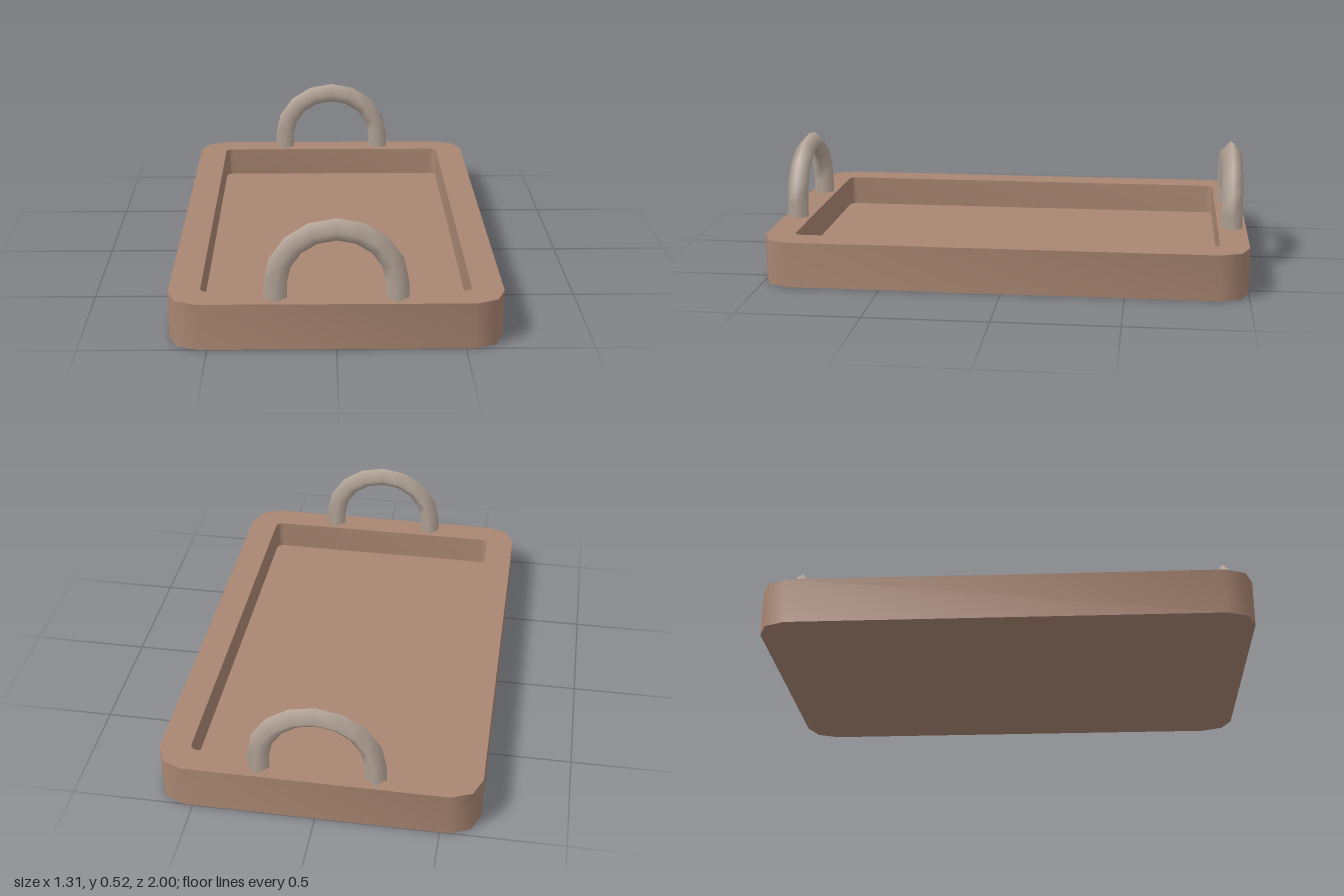
import * as THREE from 'three';
import { toCreasedNormals } from 'three/addons/utils/BufferGeometryUtils.js';

// Outline of a rectangle with rounded corners, each corner made of n segments
function roundedOutline(hx, hz, r, n) {
  const pts = [];
  const corners = [[1, 1], [-1, 1], [-1, -1], [1, -1]];
  corners.forEach(([sx, sz], c) => {
    for (let i = 0; i <= n; i++) {
      const a = (c + i / n) * Math.PI / 2;
      pts.push(new THREE.Vector2(sx * (hx - r) + r * Math.cos(a), sz * (hz - r) + r * Math.sin(a)));
    }
  });
  return pts;
}

// Upright slab from a flat shape, standing on y = 0
function slab(shape, height) {
  const geo = new THREE.ExtrudeGeometry(shape, { depth: height, bevelEnabled: false });
  geo.rotateX(-Math.PI / 2);
  return toCreasedNormals(geo, 0.87);
}

// Arch path: short straight legs under a half ellipse, in ten even steps
class ArchCurve extends THREE.Curve {
  getPoint(t, target = new THREE.Vector3()) {
    const k = t * 10;
    const a = (THREE.MathUtils.clamp(k, 1, 9) - 1) * Math.PI / 8;
    const drop = Math.max(0, 1 - k, k - 9) * 0.07;
    return target.set(0.235 * Math.cos(a), 0.25 + 0.221 * Math.sin(a) - drop, 0);
  }
  getPointAt(t, target) {
    return this.getPoint(t, target);
  }
  getTangentAt(t, target) {
    return this.getTangent(t, target);
  }
}

export function createModel() {
  const wood = new THREE.MeshStandardMaterial({ color: 0xa98672 });
  wood.name = 'wood';
  const metal = new THREE.MeshStandardMaterial({ color: 0xb8a89b });
  metal.name = 'handleMetal';

  const model = new THREE.Group();
  model.name = 'tray';
  const add = (name, geometry, material) => {
    const mesh = new THREE.Mesh(geometry, material);
    mesh.name = name;
    model.add(mesh);
    return mesh;
  };

  // Rim with the recess cut out
  const inner = roundedOutline(0.53, 0.88, 0.03, 4);
  const rimShape = new THREE.Shape(roundedOutline(0.655, 1, 0.12, 2));
  rimShape.holes.push(new THREE.Path(inner));
  add('rim', slab(rimShape, 0.19), wood);

  // Floor of the recess
  add('floor', slab(new THREE.Shape(inner), 0.06), wood);

  // Arched handles at both ends, with a four-sided section
  const handleGeometry = new THREE.TubeGeometry(new ArchCurve(), 10, 0.045, 4, false);
  for (const [name, side] of [['frontHandle', 1], ['backHandle', -1]]) {
    add(name, handleGeometry, metal).position.z = side * 0.938;
  }
  return model;
}
